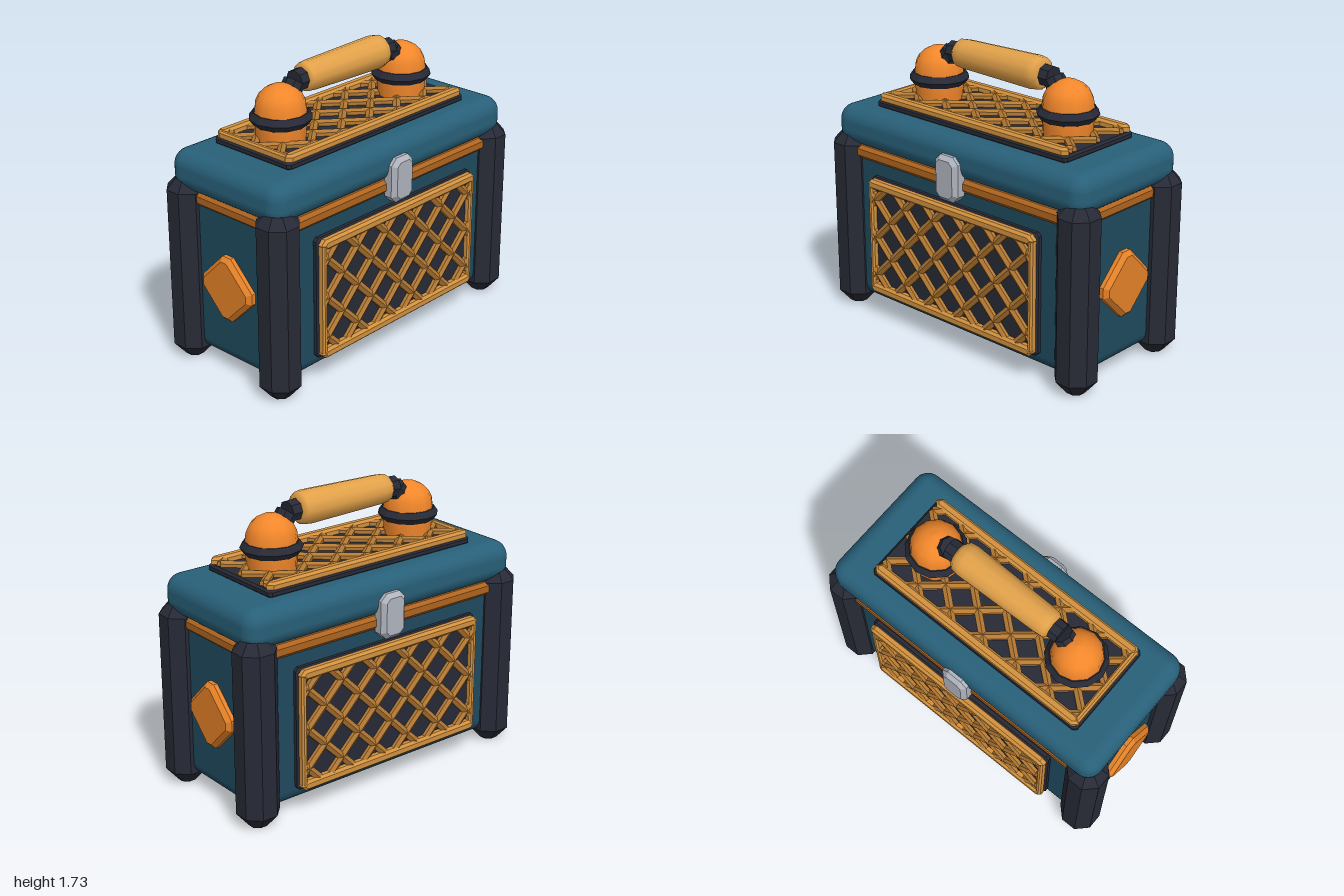
import * as THREE from 'three';
import { RoundedBoxGeometry } from 'three/addons/geometries/RoundedBoxGeometry.js';

const mat = (color, flatShading = true) => new THREE.MeshStandardMaterial({ color, flatShading });
const DARK = mat(0x272a36), BODY = mat(0x1f4a5e, false), LID = mat(0x286079, false);
const TRIM = mat(0xb0651f), WOOD = mat(0xd3923f), BAR = mat(0xb57a33);
const ORANGE = mat(0xf2872b, false), GEM = mat(0xe58228), GRIP = mat(0xe3a24a, false), METAL = mat(0xb0b4be);

function add(parent, name, geometry, material, x = 0, y = 0, z = 0) {
  const mesh = new THREE.Mesh(geometry, material);
  mesh.name = name;
  mesh.position.set(x, y, z);
  parent.add(mesh);
  return mesh;
}

// Centred box with all edges chamfered by c and the four z-corners cut by k
function chamferBox(w, h, d, c, k = c) {
  const a = w / 2 - c, b = h / 2 - c;
  const corners = [[a - k, -b], [a, -b + k], [a, b - k], [a - k, b], [-a + k, b], [-a, b - k], [-a, -b + k], [-a + k, -b]];
  const shape = new THREE.Shape(corners.map(([x, y]) => new THREE.Vector2(x, y)));
  const g = new THREE.ExtrudeGeometry(shape, { depth: d - 2 * c, bevelEnabled: true, bevelSize: c, bevelThickness: c, bevelSegments: 1 });
  return g.translate(0, 0, -(d - 2 * c) / 2);
}

// Cylinder between two points
function rod(parent, name, p, q, r0, r1, sides, material) {
  const dir = q.clone().sub(p);
  const mesh = add(parent, name, new THREE.CylinderGeometry(r1, r0, dir.length(), sides), material);
  mesh.position.copy(p).add(q).multiplyScalar(0.5);
  mesh.quaternion.setFromUnitVectors(new THREE.Vector3(0, 1, 0), dir.normalize());
  return mesh;
}

const lathe = (points, sides, phi = 0) =>
  new THREE.LatheGeometry(points.map(([r, y]) => new THREE.Vector2(r, y)), sides, phi);

// Backing plate, crossed bars and rails, facing +z with the rear face at z = 0
function latticePanel(name, w, h, stepU, stepV, phase, sideRails) {
  const panel = new THREE.Group();
  panel.name = name;
  add(panel, 'backing', chamferBox(w + 0.02, h + 0.01, 0.045, 0.012), DARK, 0, 0, 0.0225);
  const W = w / 2 - 0.02, H = h / 2 - 0.03, ratio = stepU / stepV;
  for (const s of [-1, 1]) {
    for (let k = -8; k <= 8; k++) {
      const c = phase + k * stepU;
      const edges = [(-W - c) / (s * ratio), (W - c) / (s * ratio)].sort((a, b) => a - b);
      const v0 = Math.max(-H, edges[0]), v1 = Math.min(H, edges[1]);
      if (v1 - v0 < 0.03) continue;
      const at = v => new THREE.Vector3(c + s * ratio * v, v, 0.052);
      rod(panel, 'latticeBar', at(v0), at(v1), 0.026, 0.026, 6, BAR);
    }
    add(panel, 'longRail', chamferBox(w, 0.06, 0.055, 0.015), WOOD, 0, s * (h / 2 - 0.03), 0.0575);
    if (sideRails.includes(s)) {
      add(panel, 'sideRail', chamferBox(0.035, h - 0.04, 0.05, 0.01), WOOD, s * (w / 2 - 0.0175), 0, 0.055);
    }
  }
  return panel;
}

export function createModel() {
  const model = new THREE.Group();
  model.name = 'chest';

  // Case, trim band and lid
  add(model, 'body', new RoundedBoxGeometry(1.82, 0.98, 0.78, 4, 0.08), BODY, 0, 0.56, 0);
  const trim = add(model, 'trimBand', chamferBox(1.85, 0.83, 0.08, 0.02), TRIM, 0, 1.015, 0);
  trim.rotation.x = -Math.PI / 2;
  add(model, 'lid', new RoundedBoxGeometry(1.92, 0.24, 0.86, 4, 0.095), LID, 0, 1.163, 0);

  // Octagonal corner posts
  const post = lathe([[0, 0], [0.055, 0], [0.1245, 0.08], [0.1245, 1.05], [0.07, 1.11], [0, 1.11]], 8, Math.PI / 8);
  for (const sx of [-1, 1]) for (const sz of [-1, 1]) add(model, 'cornerPost', post, DARK, sx * 0.885, 0, sz * 0.353);

  // Front and back: lattice and clasp
  for (const s of [1, -1]) {
    const side = new THREE.Group();
    side.name = s > 0 ? 'frontFace' : 'backFace';
    const panel = latticePanel('latticePanel', 1.3, 0.73, 0.24, 0.24, 0.12, [-1, 1]);
    panel.position.set(0, 0.525, 0.383);
    side.add(panel);
    add(side, 'clasp', chamferBox(0.175, 0.27, 0.1, 0.025), METAL, 0, 1.055, 0.425);
    side.rotation.y = s > 0 ? 0 : Math.PI;
    model.add(side);
  }

  // Diamond plates on the ends
  for (const s of [-1, 1]) {
    const diamond = add(model, 'sideDiamond', chamferBox(0.32, 0.32, 0.1, 0.025, 0.03).rotateZ(Math.PI / 4), GEM, s * 0.91, 0.55, 0);
    diamond.rotation.y = s * Math.PI / 2;
  }

  // Lattice on the lid
  const top = latticePanel('lidLattice', 1.45, 0.58, 0.235, 0.2, 0, [-1]);
  top.rotation.x = -Math.PI / 2;
  top.position.y = 1.277;
  model.add(top);

  // Handle: domed mounts, collars, elbows and grip
  const handle = new THREE.Group();
  handle.name = 'handle';
  const dome = [[0.14, 1.3], [0.145, 1.38], [0.152, 1.46]];
  for (let i = 1; i <= 5; i++) {
    const a = i / 5 * Math.PI / 2;
    dome.push([0.15 * Math.cos(a), 1.49 + 0.15 * Math.sin(a)]);
  }
  const domeGeo = lathe(dome, 12);
  const collarGeo = lathe([[0.14, 1.415], [0.155, 1.415], [0.18, 1.45], [0.155, 1.485], [0.14, 1.485]], 12);
  for (const s of [-1, 1]) {
    add(handle, 'mountDome', domeGeo, ORANGE, s * 0.5);
    add(handle, 'mountCollar', collarGeo, DARK, s * 0.5);
    const a = new THREE.Vector3(s * 0.46, 1.53, 0), b = new THREE.Vector3(s * 0.39, 1.625, 0), c = new THREE.Vector3(s * 0.3, 1.63, 0);
    rod(handle, 'elbowLower', a, b, 0.065, 0.062, 8, DARK);
    rod(handle, 'elbowUpper', b, c, 0.064, 0.064, 8, DARK);
  }
  const grip = add(handle, 'grip',
    lathe([[0, -0.335], [0.065, -0.335], [0.083, -0.315], [0.088, -0.26], [0.1, 0.26], [0.094, 0.305], [0.07, 0.33], [0, 0.33]], 12), GRIP, 0, 1.63, 0);
  grip.rotation.z = -Math.PI / 2;
  model.add(handle);

  return model;
}
